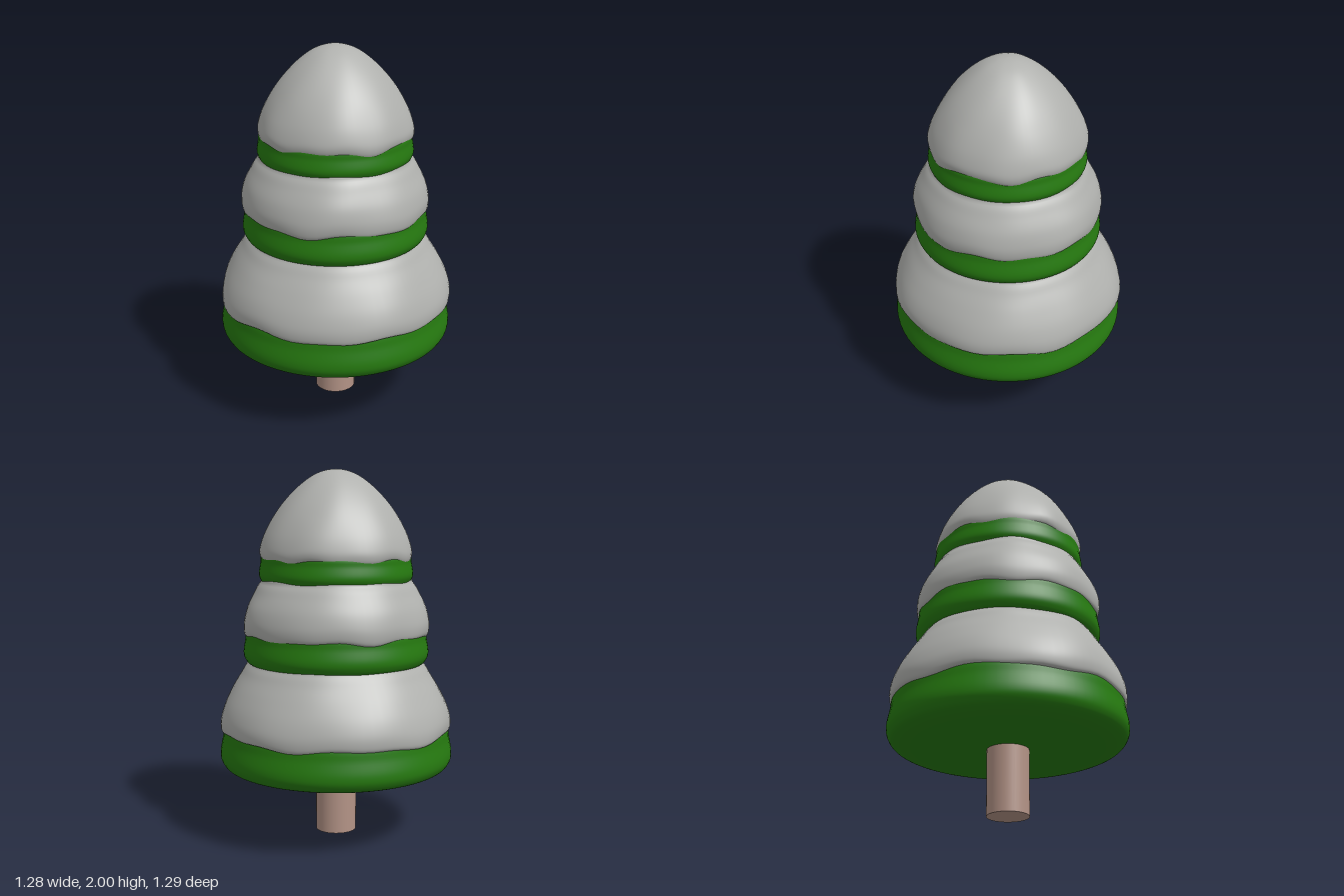
import * as THREE from 'three';
import { mergeVertices } from 'three/addons/utils/BufferGeometryUtils.js';

const snowMat = new THREE.MeshStandardMaterial({ color: 0xb0b1ae });
const leafMat = new THREE.MeshStandardMaterial({ color: 0x267a10 });
const barkMat = new THREE.MeshStandardMaterial({ color: 0xb39386 });

// Smooth revolved body through [radius, height] points, listed bottom to top
function revolve(points, samples, wobble = null) {
  const curve = new THREE.SplineCurve(points.map(([r, y]) => new THREE.Vector2(r, y)));
  const profile = curve.getPoints(samples);
  profile.forEach((p) => { p.x = Math.max(0, p.x); });
  let geo = new THREE.LatheGeometry(profile, 72);
  if (wobble) {
    const pos = geo.attributes.position;
    for (let i = 0; i < pos.count; i++) {
      const p = wobble(pos.getX(i), pos.getY(i), pos.getZ(i));
      pos.setXYZ(i, p[0], p[1], p[2]);
    }
  }
  // weld the seam and poles so the normals stay smooth
  geo.deleteAttribute('uv');
  geo.deleteAttribute('normal');
  geo = mergeVertices(geo, 1e-4);
  geo.computeVertexNormals();
  return geo;
}

// Soft lumps in the snow, with a gently waving hem
function lumps(seed, hem, height) {
  return (x, y, z) => {
    const a = Math.atan2(z, x);
    const t = (y - hem) / height;
    const swell = 1 + 0.007 * Math.sin(5 * a + seed + 4 * y)
      + 0.006 * Math.sin(8 * a - 2 * seed + 9 * y) - 0.003;
    const wave = 0.008 * Math.sin(6 * a + seed * 3) + 0.005 * Math.sin(11 * a + seed);
    return [x * swell, y + wave * Math.max(0, 1 - t * 1.4), z * swell];
  };
}

function add(group, name, geo, mat) {
  const mesh = new THREE.Mesh(geo, mat);
  mesh.name = name;
  group.add(mesh);
  return mesh;
}

// Flat-bottomed foliage drum with a rounded lower rim
function foliage(bottom, top, radius, topRadius, rim) {
  const h = top - bottom;
  return revolve([
    [0, bottom], [radius * 0.4, bottom], [radius - rim * 1.6, bottom + 0.004],
    [radius - rim * 0.5, bottom + rim * 0.25], [radius - 0.008, bottom + rim * 0.65],
    [radius, bottom + rim * 1.2], [(radius + topRadius) / 2, bottom + h * 0.72],
    [topRadius, top], [topRadius - 0.06, top + 0.02], [0, top + 0.03],
  ], 48);
}

export function createModel() {
  const tree = new THREE.Group();
  tree.name = 'snowyTree';

  const trunk = add(tree, 'trunk', new THREE.CylinderGeometry(0.112, 0.112, 0.4, 40), barkMat);
  trunk.position.y = 0.2;

  // Foliage tiers
  add(tree, 'lowerFoliage', foliage(0.355, 0.61, 0.642, 0.615, 0.09), leafMat);
  add(tree, 'middleFoliage', foliage(0.935, 1.14, 0.508, 0.488, 0.07), leafMat);
  add(tree, 'upperFoliage', foliage(1.375, 1.54, 0.42, 0.404, 0.055), leafMat);

  // Snow caps, each rolled under at the hem
  add(tree, 'lowerSnow', revolve([
    [0.5, 0.595], [0.6, 0.583], [0.632, 0.587], [0.641, 0.62], [0.636, 0.67],
    [0.612, 0.74], [0.57, 0.82], [0.525, 0.89], [0.485, 0.95], [0.42, 1.0], [0, 1.03],
  ], 48, lumps(1.3, 0.58, 0.4)), snowMat);
  add(tree, 'middleSnow', revolve([
    [0.38, 1.12], [0.47, 1.108], [0.497, 1.112], [0.508, 1.14], [0.508, 1.19],
    [0.49, 1.26], [0.455, 1.33], [0.418, 1.39], [0.36, 1.43], [0, 1.46],
  ], 48, lumps(2.9, 1.1, 0.3)), snowMat);
  add(tree, 'upperSnow', revolve([
    [0.3, 1.52], [0.375, 1.506], [0.405, 1.512], [0.417, 1.54], [0.414, 1.58],
    [0.39, 1.65], [0.345, 1.735], [0.285, 1.82], [0.21, 1.9], [0.13, 1.962],
    [0.06, 1.992], [0, 2.0],
  ], 56, lumps(4.6, 1.5, 0.35)), snowMat);

  return tree;
}
